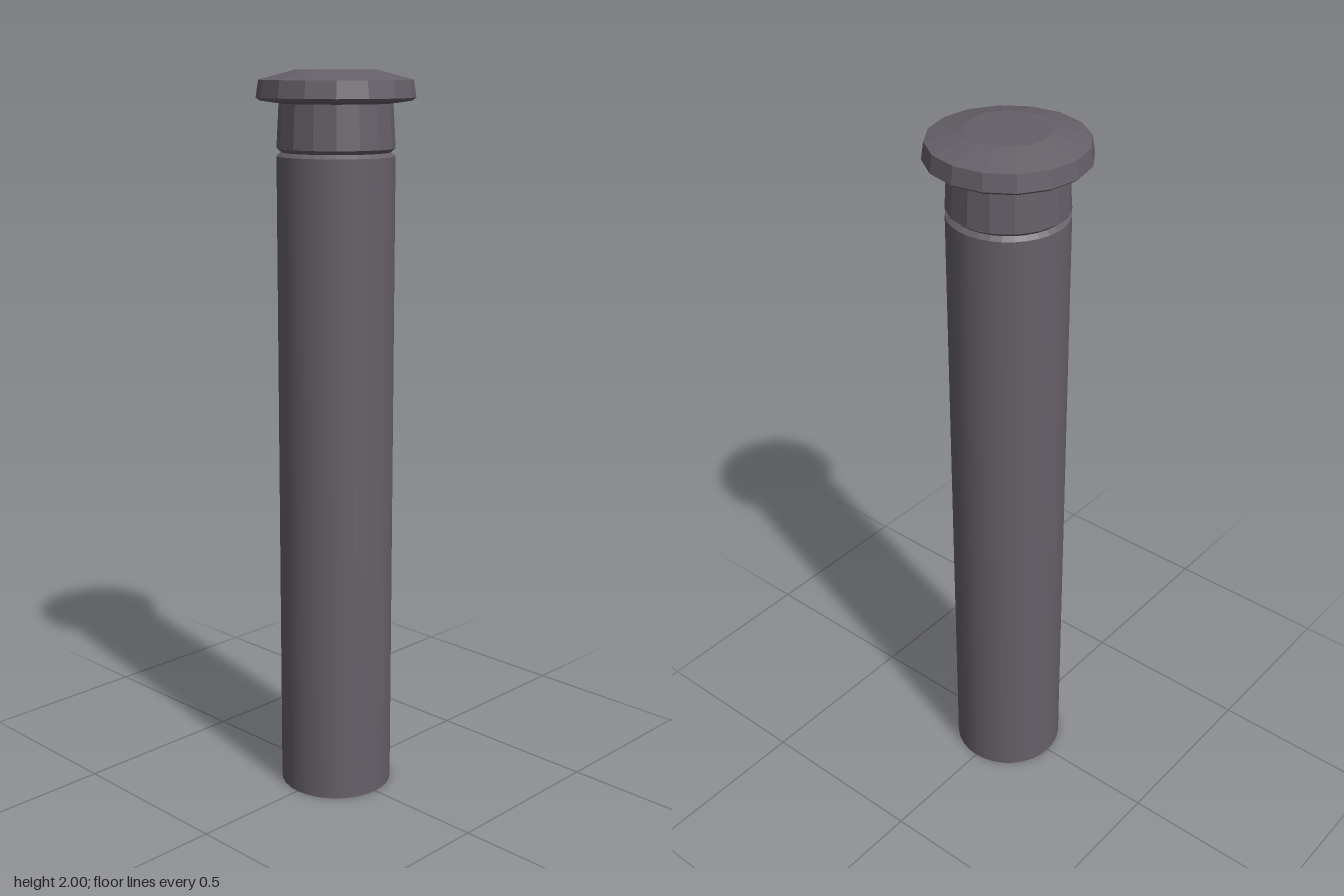
import * as THREE from 'three';

const metal = new THREE.MeshStandardMaterial({ color: 0x666068, side: THREE.DoubleSide });
metal.name = 'dark grey metal';

// Turn a profile of [radius, height] points; faceted gives flat sides.
function turned(name, profile, sides, faceted) {
  let geometry = new THREE.LatheGeometry(profile.map(([r, y]) => new THREE.Vector2(r, y)), sides);
  if (faceted) {
    geometry = geometry.toNonIndexed();
    geometry.computeVertexNormals();
  }
  const mesh = new THREE.Mesh(geometry, metal);
  mesh.name = name;
  return mesh;
}

export function createModel() {
  const group = new THREE.Group();
  group.name = 'pin';

  // Smooth hollow shaft, open at the bottom
  group.add(turned('shaft', [[0.157, 0], [0.157, 1.78]], 32, false));

  // Groove between shaft and collar
  group.add(turned('groove', [[0.157, 1.78], [0.145, 1.79], [0.157, 1.8]], 32, true));

  // Slightly tapered collar
  group.add(turned('collar', [[0.157, 1.8], [0.15, 1.92]], 16, true));

  // Wide head with a bevelled top
  group.add(turned('head', [
    [0.15, 1.915], [0.2, 1.922], [0.21, 1.93], [0.203, 1.975], [0.108, 2], [0, 2],
  ], 16, true));

  return group;
}
